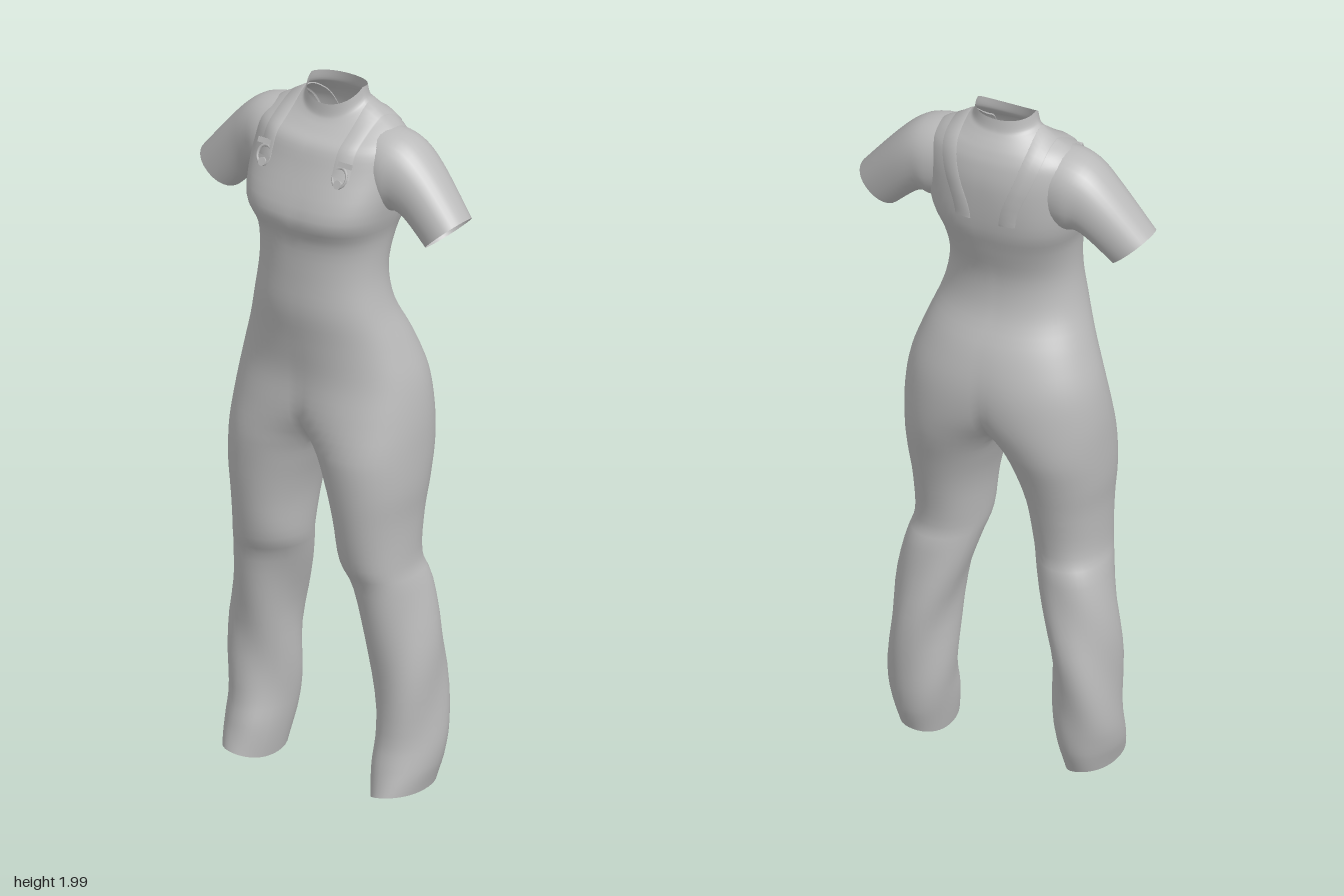
import * as THREE from 'three';
import { mergeVertices } from 'three/addons/utils/BufferGeometryUtils.js';

const cloth = new THREE.MeshStandardMaterial({ color: 0xbababa, side: THREE.DoubleSide });
cloth.name = 'grey cloth';

// Sections of half the body: y, inner x, outer x, front z, back z
const BODY = [
  [0.005, 0.18, 0.312, 0.125, -0.1],
  [0.1, 0.165, 0.326, 0.105, -0.122],
  [0.2, 0.158, 0.33, 0.083, -0.135],
  [0.4, 0.147, 0.32, 0.09, -0.14],
  [0.6, 0.1, 0.292, 0.115, -0.12],
  [0.68, 0.078, 0.275, 0.142, -0.102],
  [0.8, 0.063, 0.276, 0.16, -0.12],
  [0.9, 0.035, 0.286, 0.17, -0.145],
  [1.0, -0.012, 0.288, 0.174, -0.175],
  [1.1, -0.12, 0.284, 0.166, -0.192],
  [1.2, -0.19, 0.268, 0.156, -0.19],
  [1.3, -0.22, 0.235, 0.165, -0.163],
  [1.4, -0.2, 0.2, 0.178, -0.115],
  [1.5, -0.182, 0.182, 0.175, -0.104],
  [1.6, -0.187, 0.187, 0.175, -0.13],
  [1.68, -0.21, 0.21, 0.195, -0.152],
  [1.8, -0.23, 0.23, 0.148, -0.16],
  [1.87, -0.222, 0.222, 0.12, -0.15],
  [1.91, -0.185, 0.185, 0.092, -0.135],
  [1.935, -0.14, 0.14, 0.075, -0.12],
  [1.955, -0.11, 0.11, 0.06, -0.105],
  [1.97, -0.092, 0.092, 0.052, -0.096],
  [2.0, -0.085, 0.085, 0.047, -0.09],
];
// Sleeve sections: top x, top y, bottom x, bottom y, front z, back z
const SLEEVE = [
  [0.13, 1.91, 0.13, 1.7, 0.07, -0.115],
  [0.2, 1.907, 0.195, 1.68, 0.08, -0.122],
  [0.262, 1.884, 0.225, 1.685, 0.07, -0.116],
  [0.33, 1.82, 0.262, 1.665, 0.06, -0.106],
  [0.427, 1.705, 0.322, 1.61, 0.055, -0.087],
];
const SUB = 4, OUT = 32, IN = 12;

const pow = (v, p) => Math.sign(v) * Math.abs(v) ** p;

// Smoothly interpolate between rows of numbers, passing through each row
function refine(rows) {
  const out = [];
  for (let i = 0; i < rows.length - 1; i++) {
    const a = rows[Math.max(i - 1, 0)], b = rows[i], c = rows[i + 1], d = rows[Math.min(i + 2, rows.length - 1)];
    for (let k = 0; k < SUB; k++) {
      const t = k / SUB;
      out.push(b.map((v, n) => v + 0.5 * t * (c[n] - a[n] + t * (2 * a[n] - 5 * v + 4 * c[n] - d[n]
        + t * (3 * (v - c[n]) + d[n] - a[n])))));
    }
  }
  out.push(rows[rows.length - 1]);
  return out;
}

// Skin a list of rings; keep(i, j) chooses which quads are made
function skin(rings, keep = () => true) {
  const pos = [];
  for (let i = 0; i < rings.length - 1; i++) {
    const n = rings[i].length;
    for (let j = 0; j < n; j++) {
      if (!keep(i, j)) continue;
      const k = (j + 1) % n;
      const a = rings[i][j], b = rings[i][k], c = rings[i + 1][j], d = rings[i + 1][k];
      pos.push(...a, ...c, ...b, ...b, ...c, ...d);
    }
  }
  return pos;
}

// Mirror triangles across x and swap their winding
function mirror(pos) {
  const out = [];
  for (let i = 0; i < pos.length; i += 9)
    for (const o of [0, 6, 3]) out.push(-pos[i + o], pos[i + o + 1], pos[i + o + 2]);
  return out;
}

function smoothMesh(name, pos) {
  let g = new THREE.BufferGeometry();
  g.setAttribute('position', new THREE.Float32BufferAttribute(pos, 3));
  g = mergeVertices(g, 1e-5);
  g.computeVertexNormals();
  const m = new THREE.Mesh(g, cloth);
  m.name = name;
  return m;
}

// One ring of a trouser leg, which opens into half of the torso above the crotch
function bodyRing([y, xi, xo, zf, zb]) {
  const xc = (xi + xo) / 2, rx = (xo - xi) / 2, zm = (zf + zb) / 2, rz = (zf - zb) / 2;
  const p = 0.94 - 0.21 * Math.exp(-(((y - 1.69) / 0.1) ** 2)); // squarer at the chest
  const dip = 0.045 * THREE.MathUtils.smoothstep(y, 1.84, 1.97); // neckline lower in front
  const cross = Math.acos(-Math.min(1, Math.max(0, xc / rx) ** (1 / p)));
  const a0 = Math.min(cross, 2.65);
  const point = (a) => {
    const s = Math.sin(a);
    const hem = y < 0.1 ? (1 - y / 0.1) * (0.016 + 0.014 * Math.cos(a) + 0.012 * s * s) : 0;
    // soft folds in the lower legs
    const fold = y < 0.75 ? 0.005 * Math.sin(3 * a + y * 17) * Math.sin(y / 0.75 * Math.PI) : 0;
    return [Math.max(0, xc + (rx + fold) * pow(Math.cos(a), p)),
      y + hem - dip * (s > 0 ? s : -0.25 * s), zm + (rz + fold) * pow(s, p)];
  };
  const ring = [];
  for (let j = 0; j <= OUT; j++) ring.push(point(-a0 + 2 * a0 * j / OUT));
  const first = ring[0], last = ring[OUT];
  if (xi < 0) first[0] = last[0] = 0;
  for (let j = 1; j < IN; j++) {
    const t = j / IN;
    ring.push(xi < 0 ? [0, y, last[2] + (first[2] - last[2]) * t] : point(a0 + (2 * Math.PI - 2 * a0) * t));
  }
  return ring;
}

function sleeveRing([tx, ty, bx, by, zf, zb]) {
  const ring = [];
  for (let j = 0; j < 32; j++) {
    const a = j / 32 * Math.PI * 2, c = pow(Math.cos(a), 0.92), s = pow(Math.sin(a), 0.92);
    ring.push([(tx + bx) / 2 + (tx - bx) / 2 * c, (ty + by) / 2 + (ty - by) / 2 * c, (zf + zb) / 2 - (zf - zb) / 2 * s]);
  }
  return ring;
}

export function createModel() {
  const group = new THREE.Group();
  group.name = 'overallsAndShirt';

  // Inner leg faces stop at the crotch, so the torso stays hollow
  const rows = refine(BODY);
  const half = skin(rows.map(bodyRing), (i, j) => j < OUT || rows[i][1] >= 0);
  const body = smoothMesh('overallsBody', [...half, ...mirror(half)]);
  const arm = skin(refine(SLEEVE).map(sleeveRing));
  const sleeves = [smoothMesh('leftSleeve', arm), smoothMesh('rightSleeve', mirror(arm))];
  group.add(body, ...sleeves);

  // Find the cloth surface around the chest at a given x and angle (0 = front, 90 = up)
  const ray = new THREE.Raycaster();
  const onCloth = (x, deg, lift) => {
    const a = deg * Math.PI / 180, dir = new THREE.Vector3(0, Math.sin(a), Math.cos(a));
    ray.set(new THREE.Vector3(x, 1.75, -0.02).add(dir), dir.clone().negate());
    return ray.intersectObjects([body, ...sleeves])[0].point.addScaledVector(dir, lift);
  };

  // Straps over the shoulders, drawing together down the back
  const edge = [[-0.025, -0.004], [-0.022, 0.003], [0, 0.003], [0.022, 0.003], [0.025, -0.004]];
  const strapRings = [];
  for (let deg = 198; deg >= 18; deg -= 4.5) {
    const x = 0.125 - 0.06 * THREE.MathUtils.smoothstep(deg, 110, 200);
    strapRings.push(edge.map(([dx, lift]) => onCloth(x + dx, deg, lift).toArray()));
  }
  const strap = skin(strapRings, (i, j) => j < edge.length - 1);
  group.add(smoothMesh('leftStrap', strap), smoothMesh('rightStrap', mirror(strap)));

  // Strap buckles: slide bar, loop and bib button
  for (const side of [1, -1]) {
    const buckle = new THREE.Group();
    buckle.name = side > 0 ? 'leftBuckle' : 'rightBuckle';
    const bar = new THREE.Mesh(new THREE.BoxGeometry(0.058, 0.014, 0.008), cloth);
    bar.name = 'slideBar';
    bar.position.y = 0.035;
    const loop = new THREE.Mesh(new THREE.TorusGeometry(0.022, 0.004, 6, 20), cloth);
    loop.name = 'buckleLoop';
    loop.scale.y = 1.2;
    const button = new THREE.Mesh(new THREE.CylinderGeometry(0.012, 0.012, 0.008, 16), cloth);
    button.name = 'bibButton';
    button.rotation.x = Math.PI / 2;
    button.position.y = -0.02;
    buckle.add(bar, loop, button);
    const low = onCloth(side * 0.125, 10, 0), high = onCloth(side * 0.125, 28, 0);
    buckle.position.copy(onCloth(side * 0.125, 19, 0.004));
    buckle.rotation.x = -Math.atan2(low.z - high.z, high.y - low.y);
    group.add(buckle);
  }
  return group;
}
